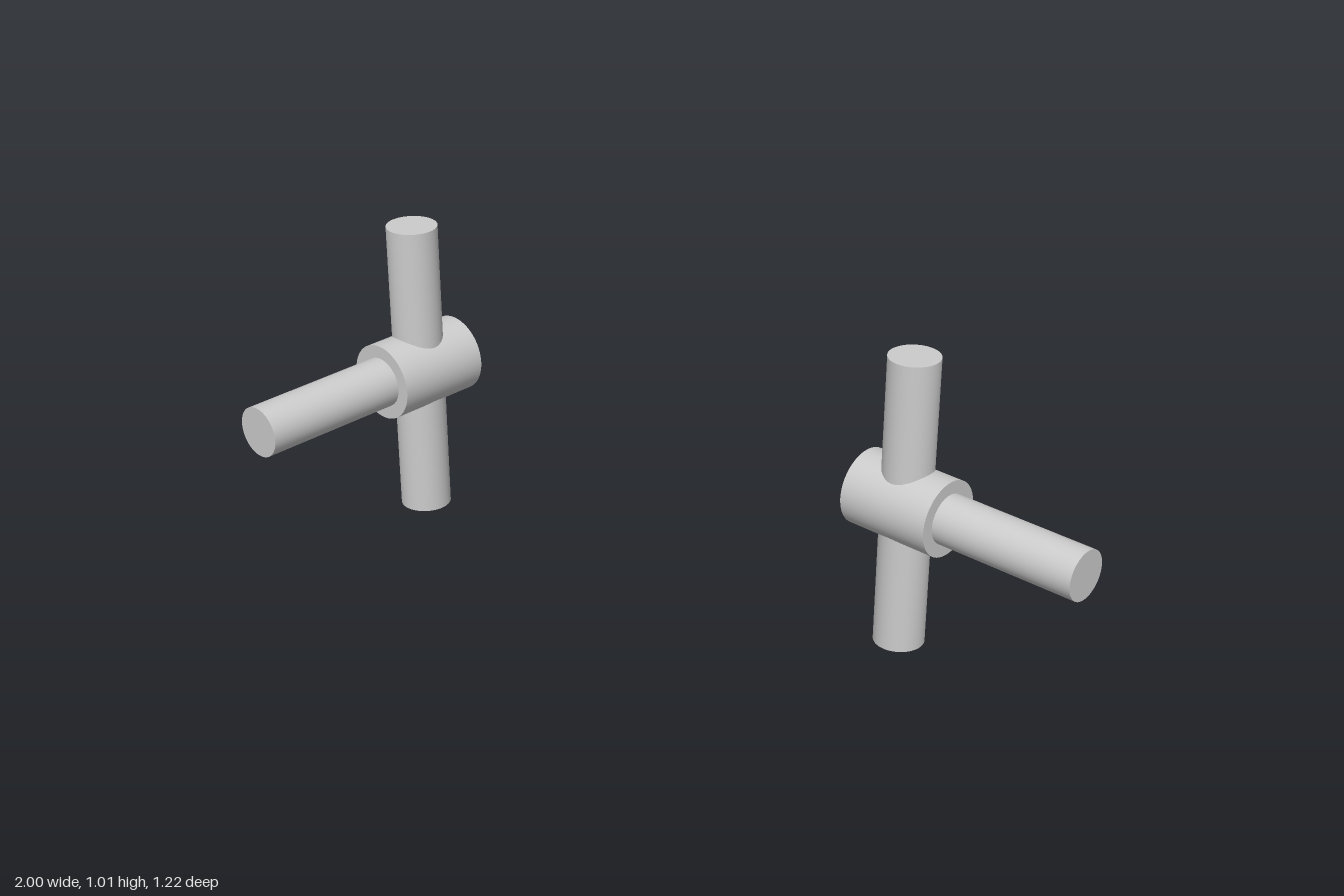
import * as THREE from 'three';

const material = new THREE.MeshStandardMaterial({ color: 0xcccccc });

function cylinder(name, radius, length) {
  const mesh = new THREE.Mesh(new THREE.CylinderGeometry(radius, radius, length, 64), material);
  mesh.name = name;
  return mesh;
}

// Upright post crossed by a thick collar with a rod leaving along local +z
function createJoint(name) {
  const postRadius = 0.071, postHeight = 0.852;
  const collarRadius = 0.108, collarLength = 0.277, rodEnd = 0.568;
  const joint = new THREE.Group();
  joint.name = name;

  const post = cylinder('post', postRadius, postHeight);

  const collar = cylinder('collar', collarRadius, collarLength);
  collar.rotation.x = Math.PI / 2;

  // The rod starts at the collar's outer face
  const rodStart = collarLength / 2;
  const rod = cylinder('rod', postRadius, rodEnd - rodStart);
  rod.rotation.x = Math.PI / 2;
  rod.position.z = (rodStart + rodEnd) / 2;

  joint.add(post, collar, rod);
  return joint;
}

export function createModel() {
  const model = new THREE.Group();
  model.name = 'pipeJoints';

  // Higher joint, rod facing the front
  const frontJoint = createJoint('frontJoint');
  frontJoint.position.set(-0.892, 0.581, 0.042);

  // Lower joint standing on the ground, rod facing +x
  const sideJoint = createJoint('sideJoint');
  sideJoint.position.set(0.432, 0.426, -0.5);
  sideJoint.rotation.y = Math.PI / 2;

  model.add(frontJoint, sideJoint);
  return model;
}
